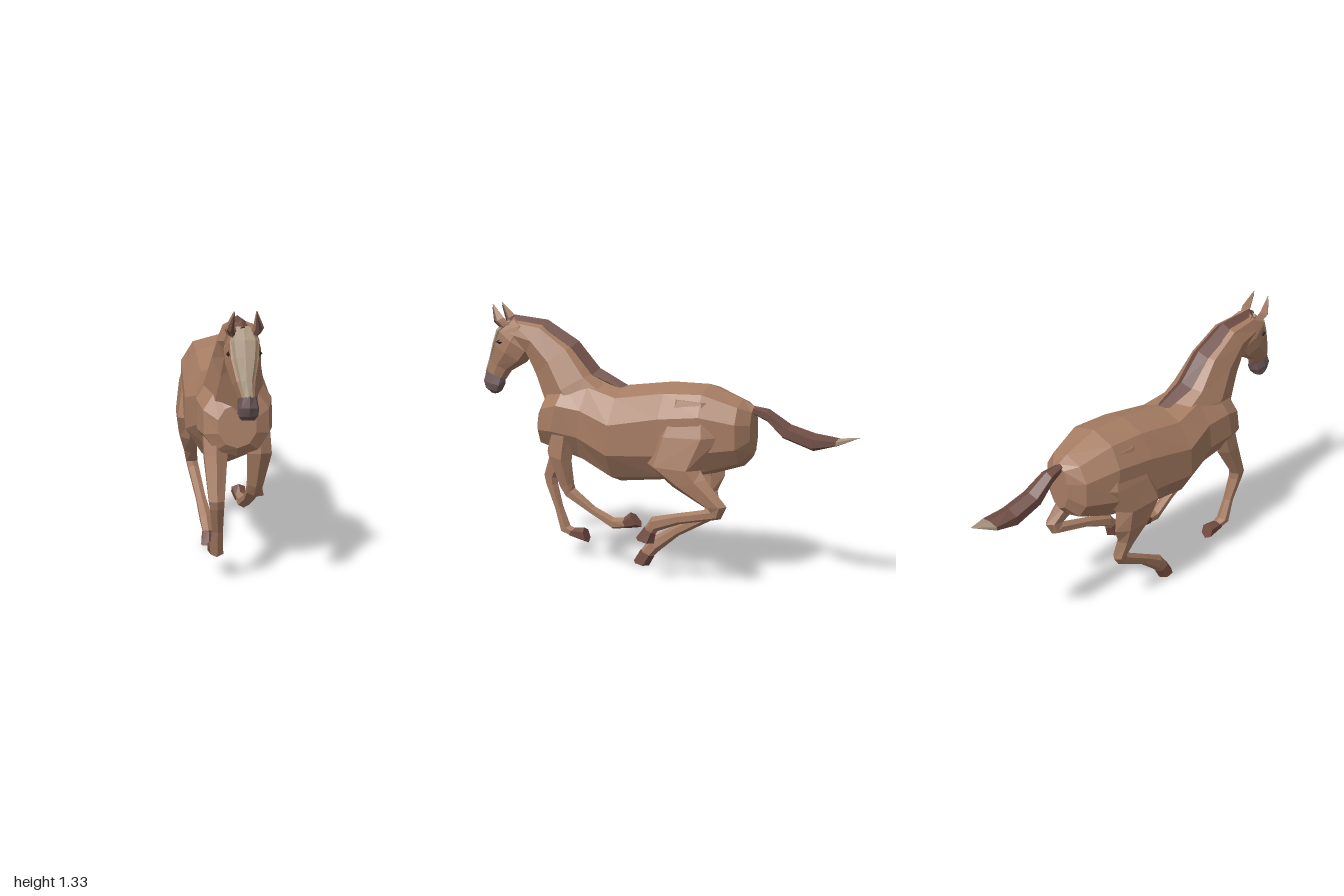
import * as THREE from 'three';

const mat = (color) => new THREE.MeshStandardMaterial({ color, flatShading: true, roughness: 0.9 });
const COAT = mat(0xa67c63), MANE = mat(0x6e4c44), MUZZLE = mat(0x6c5658),
  HOOF = mat(0x734c42), PALE = mat(0xa8957e), DARK = mat(0x2a2020);

// Skin over a chain of rings. Each ring: [x, frontZ, frontY, backZ, backY, halfWidth, squareness = 1]
// The ring spans front to back in the side plane and halfWidth across x.
function loft(name, rings, sides, material) {
  const pos = [], idx = [];
  const n = sides, last = rings.length - 1;
  const pw = (v, e) => Math.abs(v) < 1e-9 ? 0 : Math.sign(v) * Math.abs(v) ** e;
  for (const [x, zf, yf, zb, yb, w, e = 1] of rings) {
    for (let i = 0; i < n; i++) {
      const a = (i / n) * Math.PI * 2;
      const c = pw(Math.cos(a), e), s = pw(Math.sin(a), e);
      pos.push(x + w * s, (yf + yb) / 2 + c * (yf - yb) / 2, (zf + zb) / 2 + c * (zf - zb) / 2);
    }
  }
  for (let r = 0; r < last; r++) {
    for (let i = 0; i < n; i++) {
      const a = r * n + i, b = r * n + (i + 1) % n;
      idx.push(a, b, a + n, b, b + n, a + n);
    }
  }
  // end caps
  for (const r of [0, last]) {
    const [x, zf, yf, zb, yb] = rings[r], centre = pos.length / 3;
    pos.push(x, (yf + yb) / 2, (zf + zb) / 2);
    for (let i = 0; i < n; i++) {
      const a = r * n + i, b = r * n + (i + 1) % n;
      if (r === 0) idx.push(centre, b, a); else idx.push(centre, a, b);
    }
  }
  // turn the faces outward if the enclosed volume is negative
  let volume = 0;
  const v = (i) => new THREE.Vector3().fromArray(pos, i * 3);
  for (let i = 0; i < idx.length; i += 3) volume += v(idx[i]).dot(v(idx[i + 1]).cross(v(idx[i + 2])));
  if (volume < 0) idx.reverse();
  const indexed = new THREE.BufferGeometry();
  indexed.setAttribute('position', new THREE.Float32BufferAttribute(pos, 3));
  indexed.setIndex(idx);
  const geometry = indexed.toNonIndexed();
  geometry.computeVertexNormals();
  const mesh = new THREE.Mesh(geometry, material);
  mesh.name = name;
  return mesh;
}

function leg(name, limb, hoof) {
  const g = new THREE.Group();
  g.name = name;
  g.add(loft('limb', limb, 6, COAT), loft('hoof', hoof, 6, HOOF));
  return g;
}

export function createModel() {
  const horse = new THREE.Group();
  horse.name = 'horse';
  const X = -0.012;

  // trunk from rump to chest
  horse.add(loft('body', [
    [X, -0.475, 0.895, -0.475, 0.65, 0.065],
    [X, -0.42, 0.925, -0.43, 0.60, 0.145, 0.85],
    [X, -0.25, 0.99, -0.28, 0.55, 0.2, 0.8],
    [X, -0.06, 0.99, -0.03, 0.495, 0.205, 0.85],
    [X, 0.20, 0.955, 0.23, 0.463, 0.214],
    [X, 0.36, 0.99, 0.42, 0.55, 0.172],
    [X, 0.48, 0.98, 0.57, 0.60, 0.18, 0.9],
    [X, 0.585, 0.93, 0.64, 0.62, 0.155, 0.9],
    [X, 0.64, 0.86, 0.667, 0.665, 0.09],
  ], 10, COAT));

  // neck, from the withers to the poll
  horse.add(loft('neck', [
    [X, 0.20, 0.935, 0.63, 0.72, 0.14],
    [X, 0.345, 1.02, 0.65, 0.84, 0.135],
    [X, 0.462, 1.153, 0.70, 0.97, 0.108],
    [X, 0.632, 1.252, 0.74, 1.07, 0.092],
    [X, 0.81, 1.27, 0.80, 1.10, 0.075],
  ], 8, COAT));

  // mane lying flush along the crest
  horse.add(loft('mane', [
    [X, 0.19, 0.957, 0.21, 0.915, 0.035],
    [X, 0.34, 1.032, 0.385, 0.975, 0.05],
    [X, 0.457, 1.163, 0.495, 1.105, 0.05],
    [X, 0.63, 1.262, 0.65, 1.195, 0.048],
    [X, 0.82, 1.28, 0.80, 1.215, 0.042],
    [X, 0.86, 1.258, 0.83, 1.215, 0.025],
  ], 4, MANE));

  // head, blaze and muzzle
  const H = -0.008;
  horse.add(loft('head', [
    [H, 0.82, 1.272, 0.70, 1.19, 0.06],
    [H, 0.90, 1.21, 0.71, 1.09, 0.08, 0.75],
    [H, 0.928, 1.14, 0.755, 1.04, 0.076, 0.75],
    [H, 0.962, 1.05, 0.845, 0.99, 0.052, 0.8],
    [0, 0.987, 0.985, 0.875, 0.945, 0.038],
  ], 8, COAT));
  horse.add(loft('blaze', [
    [H, 0.845, 1.258, 0.82, 1.235, 0.04],
    [H, 0.906, 1.21, 0.875, 1.185, 0.057, 0.7],
    [H, 0.933, 1.14, 0.905, 1.125, 0.05, 0.7],
    [H, 0.966, 1.05, 0.945, 1.04, 0.03, 0.7],
    [0, 0.989, 0.985, 0.97, 0.975, 0.024],
  ], 8, PALE));
  horse.add(loft('muzzle', [
    [0.003, 0.99, 0.99, 0.875, 0.95, 0.036],
    [0.003, 1.0, 0.94, 0.885, 0.91, 0.046, 0.8],
    [0.003, 0.985, 0.90, 0.905, 0.88, 0.042, 0.8],
    [0.003, 0.955, 0.875, 0.925, 0.868, 0.028],
  ], 8, MUZZLE));

  // ears and eyes
  for (const s of [-1, 1]) {
    const side = s > 0 ? 'left' : 'right';
    horse.add(loft(side + 'Ear', [
      [H + s * 0.05, 0.88, 1.215, 0.82, 1.235, 0.022],
      [H + s * 0.06, 0.90, 1.24, 0.85, 1.27, 0.024],
      [H + s * 0.047, 0.92, 1.335, 0.915, 1.334, 0.002],
    ], 4, COAT));
    horse.add(loft(side + 'InnerEar', [
      [H + s * 0.051, 0.887, 1.222, 0.86, 1.23, 0.013],
      [H + s * 0.06, 0.907, 1.245, 0.88, 1.26, 0.015],
      [H + s * 0.048, 0.921, 1.32, 0.915, 1.32, 0.002],
    ], 4, MANE));
    const eye = new THREE.Mesh(new THREE.OctahedronGeometry(0.018), DARK);
    eye.name = side + 'Eye';
    eye.scale.set(0.6, 0.7, 1.2);
    eye.position.set(H + s * 0.066, 1.145, 0.875);
    horse.add(eye);
  }

  // tail streaming behind
  const T = -0.018;
  horse.add(loft('tail', [
    [T, -0.45, 0.90, -0.46, 0.86, 0.018],
    [T, -0.55, 0.887, -0.54, 0.825, 0.04],
    [T, -0.66, 0.82, -0.62, 0.75, 0.055],
    [T, -0.78, 0.787, -0.77, 0.70, 0.06],
    [T, -0.89, 0.77, -0.89, 0.735, 0.058],
  ], 6, MANE));
  horse.add(loft('tailTip', [
    [T, -0.89, 0.77, -0.89, 0.735, 0.058],
    [T, -0.993, 0.783, -0.993, 0.781, 0.002],
  ], 6, PALE));

  // legs in a gallop
  horse.add(leg('leftForeleg', [
    [0.09, 0.56, 0.78, 0.43, 0.76, 0.065],
    [0.105, 0.585, 0.61, 0.45, 0.57, 0.062],
    [0.09, 0.525, 0.43, 0.445, 0.45, 0.042],
    [0.085, 0.49, 0.375, 0.445, 0.425, 0.038],
    [0.078, 0.36, 0.30, 0.34, 0.34, 0.028],
    [0.065, 0.24, 0.228, 0.235, 0.288, 0.032],
    [0.055, 0.155, 0.24, 0.18, 0.29, 0.027],
  ], [
    [0.055, 0.175, 0.235, 0.19, 0.285, 0.029],
    [0.05, 0.09, 0.25, 0.15, 0.32, 0.038],
  ]));
  horse.add(leg('rightForeleg', [
    [-0.105, 0.61, 0.78, 0.47, 0.74, 0.065],
    [-0.105, 0.655, 0.63, 0.53, 0.59, 0.06],
    [-0.108, 0.72, 0.43, 0.64, 0.42, 0.04],
    [-0.106, 0.71, 0.39, 0.64, 0.385, 0.036],
    [-0.10, 0.655, 0.26, 0.61, 0.265, 0.028],
    [-0.10, 0.62, 0.13, 0.57, 0.167, 0.034],
    [-0.10, 0.55, 0.108, 0.54, 0.155, 0.027],
  ], [
    [-0.10, 0.57, 0.11, 0.55, 0.155, 0.029],
    [-0.10, 0.46, 0.085, 0.485, 0.165, 0.038],
  ]));
  horse.add(leg('leftHindleg', [
    [0.10, -0.08, 0.93, -0.32, 0.92, 0.05],
    [0.14, -0.01, 0.75, -0.36, 0.76, 0.068, 0.85],
    [0.168, 0.005, 0.61, -0.27, 0.60, 0.067, 0.7],
    [0.18, -0.13, 0.51, -0.30, 0.56, 0.05],
    [0.178, -0.29, 0.425, -0.408, 0.435, 0.034],
    [0.17, -0.32, 0.415, -0.375, 0.37, 0.032],
    [0.158, -0.14, 0.372, -0.16, 0.32, 0.027],
    [0.152, -0.01, 0.34, -0.04, 0.27, 0.034],
    [0.15, 0.03, 0.28, -0.03, 0.255, 0.031],
  ], [
    [0.15, 0.03, 0.285, -0.03, 0.258, 0.033],
    [0.152, 0.075, 0.225, -0.02, 0.205, 0.042],
  ]));
  horse.add(leg('rightHindleg', [
    [-0.125, -0.08, 0.92, -0.32, 0.91, 0.05],
    [-0.155, 0.0, 0.74, -0.36, 0.75, 0.066, 0.85],
    [-0.175, 0.02, 0.62, -0.26, 0.61, 0.067, 0.7],
    [-0.178, -0.035, 0.50, -0.27, 0.50, 0.052],
    [-0.165, -0.13, 0.40, -0.235, 0.42, 0.038],
    [-0.155, -0.18, 0.34, -0.255, 0.32, 0.033],
    [-0.147, -0.17, 0.318, -0.22, 0.272, 0.031],
    [-0.125, -0.01, 0.22, -0.04, 0.172, 0.027],
    [-0.107, 0.11, 0.148, 0.055, 0.09, 0.034],
    [-0.10, 0.16, 0.08, 0.09, 0.055, 0.03],
  ], [
    [-0.10, 0.16, 0.085, 0.085, 0.055, 0.033],
    [-0.10, 0.20, 0.02, 0.115, 0.002, 0.041],
  ]));

  return horse;
}
